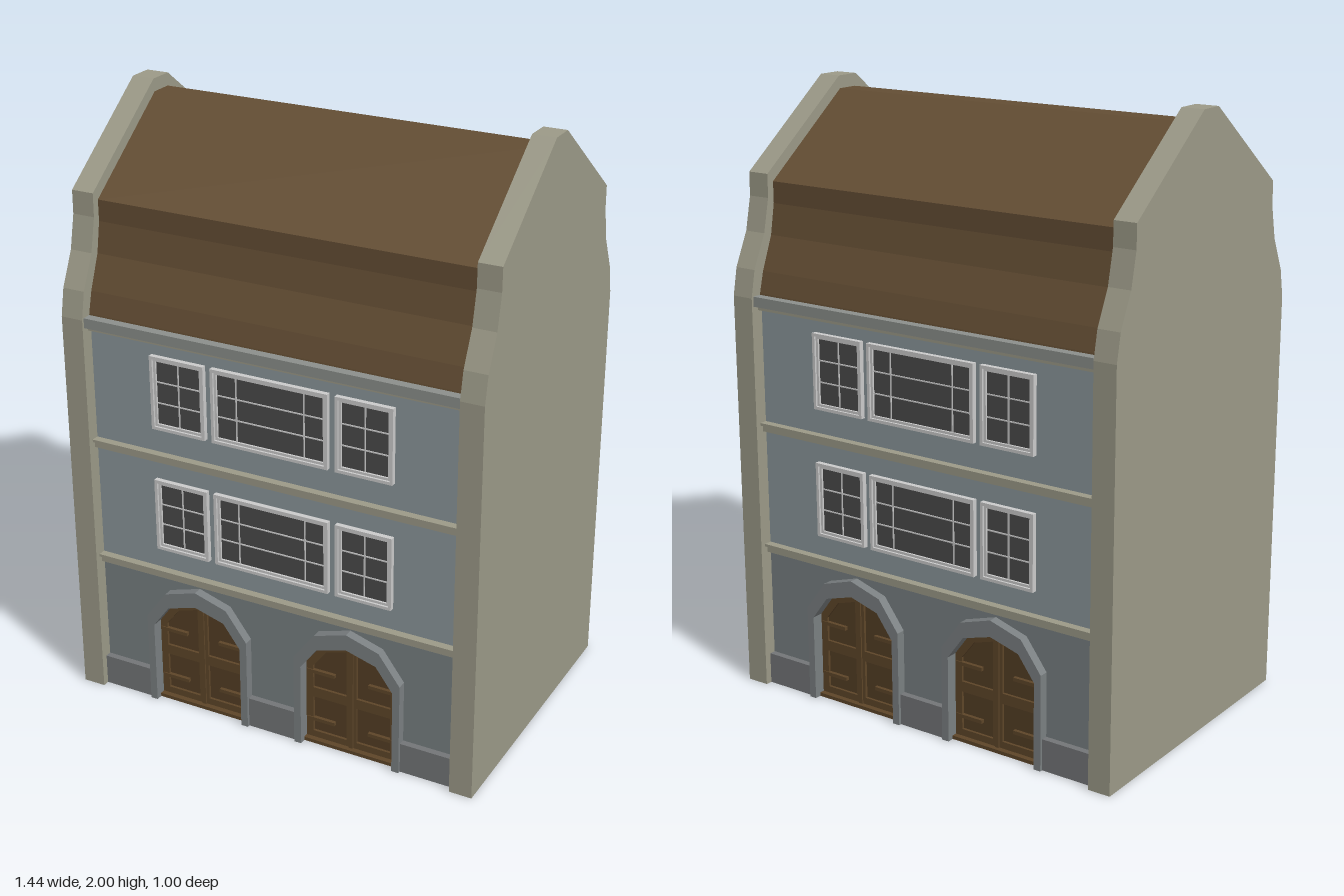
import * as THREE from 'three';

const mat = (color) => new THREE.MeshStandardMaterial({ color, flatShading: true });
const M = {
  stone: mat(0x9c9a88), roof: mat(0x644e34), upper: mat(0x8b979b), ground: mat(0x788082),
  plinth: mat(0x747678), surround: mat(0x7b8082), door: mat(0x5e4629), panel: mat(0x543e24),
  trim: mat(0xcccccc), glass: mat(0x4a4a4a), cornice: mat(0x8c908c), floor: mat(0x3c3c3c),
};
const WALL = 0.455, CORE = 0.43, HALF = 0.645;

function add(parent, name, geo, material) {
  const mesh = new THREE.Mesh(geo, material);
  mesh.name = name;
  parent.add(mesh);
  return mesh;
}

// Box given by its limits on each axis
function box(parent, name, material, x0, x1, y0, y1, z0, z1) {
  const geo = new THREE.BoxGeometry(x1 - x0, y1 - y0, z1 - z0);
  geo.translate((x0 + x1) / 2, (y0 + y1) / 2, (z0 + z1) / 2);
  return add(parent, name, geo, material);
}

const toShape = (pts) => new THREE.Shape(pts.map(([x, y]) => new THREE.Vector2(x, y)));
const toPath = (pts) => new THREE.Path(pts.map(([x, y]) => new THREE.Vector2(x, y)));
const rect = (x0, x1, y0, y1) => [[x0, y0], [x1, y0], [x1, y1], [x0, y1]];

// Outline with optional holes, extruded from z0 to z1
function slab(parent, name, material, pts, holes, z0, z1) {
  const shape = toShape(pts);
  shape.holes = holes.map(toPath);
  const geo = new THREE.ExtrudeGeometry(shape, { depth: z1 - z0, bevelEnabled: false });
  geo.translate(0, 0, z0);
  return add(parent, name, geo, material);
}

// Half profile in (z, y), mirrored front to back and extruded along x
function alongX(parent, name, material, half, x0, x1) {
  const pts = [...half, ...half.map(([z, y]) => [-z, y]).reverse()];
  const geo = new THREE.ExtrudeGeometry(toShape(pts), { depth: x1 - x0, bevelEnabled: false });
  geo.rotateY(-Math.PI / 2);
  geo.translate(x1, 0, 0);
  return add(parent, name, geo, material);
}

// Faceted arch: half width, spring height, shoulder and crown
const arch = (cx, w, spring, shoulderX, shoulderY, crown, y0 = 0) => [
  [cx - w, y0], [cx + w, y0], [cx + w, spring], [cx + shoulderX, shoulderY],
  [cx, crown], [cx - shoulderX, shoulderY], [cx - w, spring],
];
const opening = (cx, y0) => arch(cx, 0.163, 0.29, 0.104, 0.37, 0.4, y0);

function buildDoor(parent, cx) {
  const door = new THREE.Group();
  door.name = 'archedDoor';
  parent.add(door);
  // Stone surround
  const outer = arch(cx, 0.188, 0.32, 0.114, 0.42, 0.455);
  const inner = opening(cx).slice(2);
  const ring = [
    outer[0], [cx - 0.163, 0], ...inner.slice().reverse(), [cx + 0.163, 0], ...outer.slice(1),
  ];
  slab(door, 'doorSurround', M.surround, ring, [], CORE, 0.487);
  // Two leaves, each with an upper and a lower recessed panel
  slab(door, 'doorPanels', M.panel, opening(cx), [], CORE, 0.438);
  const holes = [];
  for (const s of [-1, 1]) {
    const a = cx + s * 0.018, b = cx + s * 0.138;
    holes.push(rect(a, b, 0.035, 0.165));
    holes.push([[a, 0.2], [b, 0.2], [b, 0.282], [cx + s * 0.09, 0.344], [a, 0.366]]);
  }
  slab(door, 'doorLeaves', M.door, opening(cx), holes, 0.438, 0.447);
  for (const s of [-1, 1])
    for (const y of [0.075, 0.255]) {
      const a = cx + s * 0.06, b = cx + s * 0.16;
      box(door, 'hingeStrap', M.door, Math.min(a, b), Math.max(a, b), y, y + 0.012, 0.438, 0.45);
    }
  box(door, 'doorCentreStrip', M.door, cx - 0.007, cx + 0.007, 0.01, 0.39, 0.44, 0.452);
  box(door, 'threshold', M.door, cx - 0.163, cx + 0.163, 0, 0.012, CORE, 0.465);
}

function buildWindow(parent, x0, x1, y0, y1, bars) {
  const win = new THREE.Group();
  win.name = 'window';
  parent.add(win);
  const inset = (d) => rect(x0 + d, x1 - d, y0 + d, y1 - d);
  slab(win, 'windowCasing', M.trim, inset(0), [inset(0.01)], WALL - 0.005, 0.472);
  slab(win, 'windowSash', M.trim, inset(0.01), [inset(0.018)], WALL - 0.005, 0.465);
  box(win, 'windowGlass', M.glass, x0 + 0.018, x1 - 0.018, y0 + 0.018, y1 - 0.018, WALL - 0.005, 0.458);
  const t = 0.002;
  for (const x of bars)
    box(win, 'verticalBar', M.trim, x - t, x + t, y0 + 0.018, y1 - 0.018, WALL, 0.461);
  for (let i = 1; i < 3; i++) {
    const y = y0 + 0.018 + ((y1 - y0 - 0.036) * i) / 3;
    box(win, 'horizontalBar', M.trim, x0 + 0.018, x1 - 0.018, y - t, y + t, WALL, 0.461);
  }
}

function buildFacade() {
  const f = new THREE.Group();
  f.name = 'facade';
  const doors = [-0.275, 0.275];
  // Wall surfaces
  const wall = [[-HALF, 0]];
  for (const cx of doors) {
    const o = opening(cx);
    wall.push(o[0], ...o.slice(2).reverse(), o[1]);
  }
  wall.push([HALF, 0], [HALF, 0.485], [-HALF, 0.485]);
  slab(f, 'groundFloorWall', M.ground, wall, [], CORE, WALL);
  box(f, 'upperWall', M.upper, -HALF, HALF, 0.485, 1.34, CORE, WALL);
  // Plinth between the door surrounds
  for (const [a, b] of [[-HALF, -0.463], [-0.087, 0.087], [0.463, HALF]])
    box(f, 'plinth', M.plinth, a, b, 0, 0.105, CORE, 0.477);
  // Stepped string courses and eaves cornice
  for (const y of [0.47, 0.89]) {
    box(f, 'stringCourseLower', M.stone, -HALF, HALF, y, y + 0.022, CORE, 0.471);
    box(f, 'stringCourseUpper', M.stone, -HALF, HALF, y + 0.022, y + 0.031, CORE, 0.482);
  }
  box(f, 'corniceLower', M.stone, -HALF, HALF, 1.297, 1.312, CORE, 0.472);
  box(f, 'corniceUpper', M.cornice, -HALF, HALF, 1.312, 1.345, CORE, 0.492);
  for (const cx of doors) buildDoor(f, cx);
  // Two rows of three windows
  for (const y of [0.575, 1.005]) {
    buildWindow(f, -0.203, 0.203, y, y + 0.25, [-0.118, 0.118]);
    for (const s of [-1, 1]) {
      const c = s * 0.325;
      buildWindow(f, c - 0.097, c + 0.097, y, y + 0.25, [c]);
    }
  }
  return f;
}

export function createModel() {
  const model = new THREE.Group();
  model.name = 'townHouse';

  // Inner body and floor
  box(model, 'body', M.ground, -HALF, HALF, 0.003, 1.34, -CORE, CORE);
  box(model, 'floor', M.floor, -HALF, HALF, 0, 0.003, -CORE, CORE);

  // Curved lower roof with a straight pitch above
  const roof = [
    [0.462, 1.335], [0.46, 1.35], [0.442, 1.42], [0.398, 1.53],
    [0.38, 1.63], [0.38, 1.7], [0.038, 1.958],
  ];
  alongX(model, 'roof', M.roof, roof, -HALF, HALF);

  // Gable walls rising above the roof
  const gable = [
    [0.5, 0], [0.5, 1.34], [0.482, 1.43], [0.43, 1.54],
    [0.406, 1.65], [0.405, 1.727], [0.042, 2],
  ];
  alongX(model, 'leftGable', M.stone, gable, HALF, 0.722);
  alongX(model, 'rightGable', M.stone, gable, -0.722, -HALF);

  // The same facade on the front and the back
  for (const turn of [0, Math.PI]) {
    const facade = buildFacade();
    facade.rotation.y = turn;
    facade.name = turn ? 'backFacade' : 'frontFacade';
    model.add(facade);
  }
  return model;
}
